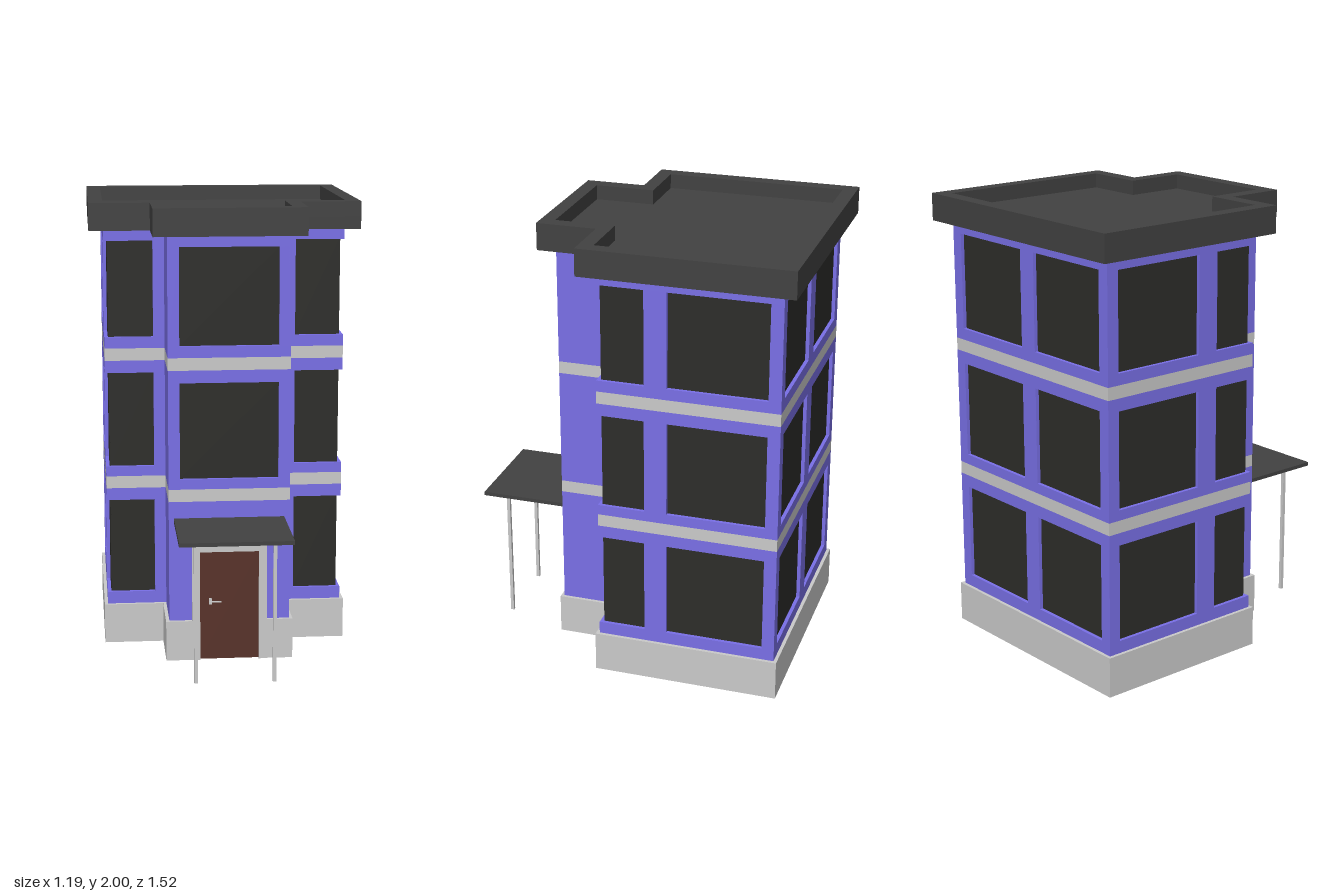
import * as THREE from 'three';

const mat = (color) => new THREE.MeshStandardMaterial({ color, side: THREE.DoubleSide });
const GREY = mat(0xcccccc), WALL = mat(0x7a70e8), GLASS = mat(0x2d2d2a), ROOF = mat(0x424242), DOOR = mat(0x59332a);
const T = 0.016; // wall thickness

// Box from its minimum and maximum corners
function box(group, name, material, x0, x1, y0, y1, z0, z1) {
  const w = Math.abs(x1 - x0), h = y1 - y0, d = Math.abs(z1 - z0);
  const mesh = new THREE.Mesh(new THREE.BoxGeometry(w, h, d), material);
  mesh.position.set((x0 + x1) / 2, (y0 + y1) / 2, (z0 + z1) / 2);
  mesh.name = name;
  group.add(mesh);
  return mesh;
}

// Piece of a straight wall: u runs along the wall, d is the inset from its outer face
function piece(group, name, material, s, u0, u1, y0, y1, d0 = 0, d1 = T) {
  const a = s.at - s.out * d0, b = s.at - s.out * d1;
  if (s.axis === 'x') box(group, name, material, u0, u1, y0, y1, a, b);
  else box(group, name, material, a, b, y0, y1, u0, u1);
}

// T-shaped plan of the building, grown outwards by m
function plan(m, Type = THREE.Shape) {
  const p = [[-0.53 - m, 0.7 + m], [-0.53 - m, -0.1 - m], [-0.265 - m, -0.1 - m], [-0.265 - m, -0.365 - m],
    [0.265 + m, -0.365 - m], [0.265 + m, -0.1 - m], [0.53 + m, -0.1 - m], [0.53 + m, 0.7 + m]];
  return new Type(p.map(([x, y]) => new THREE.Vector2(x, y)));
}

function slab(name, shape, y, height) {
  const g = new THREE.ExtrudeGeometry(shape, { depth: height, bevelEnabled: false });
  g.rotateX(-Math.PI / 2);
  const mesh = new THREE.Mesh(g, ROOF);
  mesh.position.y = y;
  mesh.name = name;
  return mesh;
}

// Floors: bottom, top, window sill, window head
const FLOORS = [[0.18, 0.72, 0.235, 0.665], [0.775, 1.3, 0.82, 1.245], [1.355, 1.88, 1.405, 1.83]];

// Wall runs with window openings [start, end, end of glass]
const RUNS = [
  { name: 'backWall', axis: 'x', at: -0.7, out: -1, from: -0.53, to: 0.53, holes: [[-0.475, -0.045], [0.045, 0.475]] },
  { name: 'bayFrontWall', axis: 'x', at: 0.365, out: 1, from: -0.265, to: 0.265, holes: [[-0.215, 0.215]], door: true },
];
for (const s of [-1, 1]) {
  const front = s > 0 ? [0.315, 0.53, 0.51] : [-0.53, -0.315];
  RUNS.push(
    { name: 'sideWall', axis: 'z', at: 0.53 * s, out: s, from: -0.7, to: 0.1, holes: [[-0.645, -0.21], [-0.11, 0.1, 0.083]] },
    { name: 'baySideWall', axis: 'z', at: 0.265 * s, out: s, from: 0.085, to: 0.365, holes: [] },
    { name: 'frontWall', axis: 'x', at: 0.1, out: 1, from: s > 0 ? 0.25 : -0.53, to: s > 0 ? 0.53 : -0.25, holes: [front], left: s < 0 },
  );
}

function wallRun(run) {
  const g = new THREE.Group();
  g.name = run.name;
  FLOORS.forEach(([y0, y1, sill, head], i) => {
    const door = run.door && i === 0;
    const holes = door ? [[-0.14, 0.14]] : run.holes;
    const low = door ? y0 : sill, high = door ? 0.51 : head;
    if (!holes.length) piece(g, 'wallPanel', WALL, run, run.from, run.to, y0, y1);
    else {
      if (low > y0) piece(g, 'sillPanel', WALL, run, run.from, run.to, y0, low);
      piece(g, 'headPanel', WALL, run, run.from, run.to, high, y1);
      // Piers between the openings
      let u = run.from;
      for (const [a, b] of [...holes, [run.to, run.to]]) {
        if (a - u > 0.001) piece(g, 'pier', WALL, run, u, a, low, high);
        u = b;
      }
      // Recessed glass, meeting at the front corners
      if (!door) for (const [a, b, end] of holes) {
        piece(g, 'windowGlass', GLASS, run, run.left ? -0.51 : a, end ?? b, sill, head, T, T + 0.004);
      }
    }
    // String course between floors
    if (i < 2) piece(g, 'stringCourse', GREY, run, run.from, run.to, y1, FLOORS[i + 1][0]);
  });
  return g;
}

function plinth() {
  const g = new THREE.Group();
  g.name = 'plinth';
  const H = 0.18;
  box(g, 'plinthBack', GREY, -0.545, 0.545, 0, H, -0.715, -0.7);
  for (const s of [-1, 1]) {
    box(g, 'plinthSide', GREY, 0.53 * s, 0.545 * s, 0, H, -0.715, 0.115);
    box(g, 'plinthFront', GREY, 0.265 * s, 0.545 * s, 0, H, 0.1, 0.115);
    box(g, 'plinthBaySide', GREY, 0.265 * s, 0.28 * s, 0, H, 0.1, 0.38);
    box(g, 'plinthBayFront', GREY, 0.16 * s, 0.28 * s, 0, H, 0.365, 0.38);
  }
  return g;
}

function entrance() {
  const g = new THREE.Group();
  g.name = 'entrance';
  for (const s of [-1, 1]) {
    box(g, 'doorJamb', GREY, 0.13 * s, 0.165 * s, 0, 0.53, 0.349, 0.384);
    box(g, 'canopyPost', GREY, 0.161 * s, 0.176 * s, 0, 0.63, 0.66, 0.675);
  }
  box(g, 'doorLintel', GREY, -0.13, 0.13, 0.495, 0.53, 0.349, 0.384);
  box(g, 'door', DOOR, -0.13, 0.13, 0, 0.495, 0.352, 0.368);
  box(g, 'handlePlate', GREY, -0.09, -0.078, 0.252, 0.28, 0.368, 0.372);
  box(g, 'handleLever', GREY, -0.088, -0.035, 0.263, 0.269, 0.375, 0.381);
  box(g, 'handleStem', GREY, -0.087, -0.081, 0.263, 0.269, 0.37, 0.378);
  box(g, 'canopy', ROOF, -0.243, 0.241, 0.629, 0.646, 0.365, 0.757);
  return g;
}

export function createModel() {
  const model = new THREE.Group();
  model.name = 'building';
  model.add(plinth(), entrance());
  for (const run of RUNS) model.add(wallRun(run));

  // Flat roof with a raised parapet
  const parapet = plan(0.063);
  parapet.holes.push(plan(0, THREE.Path));
  model.add(slab('roofDeck', plan(0.063), 1.88, 0.055), slab('parapet', parapet, 1.935, 0.065));
  return model;
}
